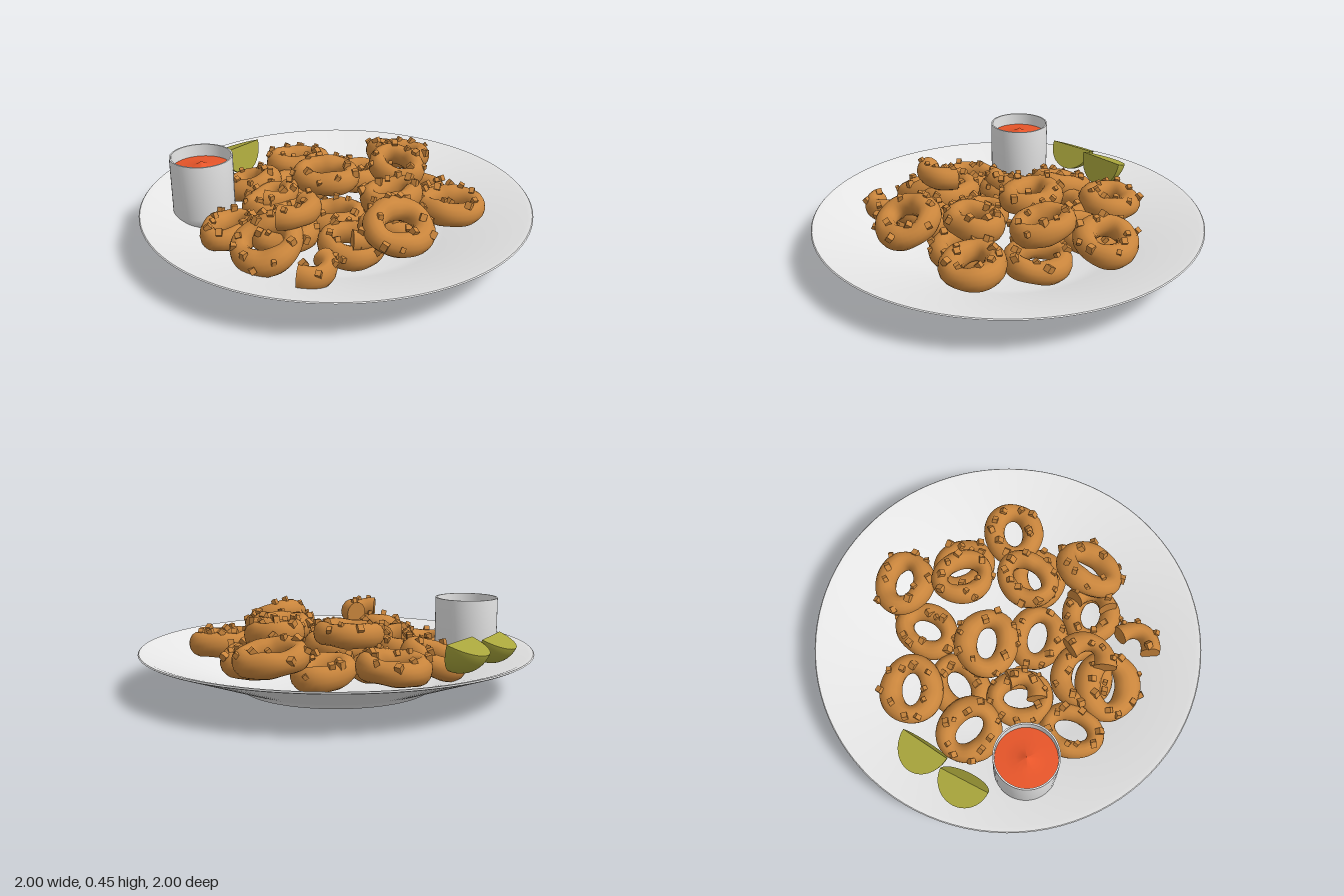
import * as THREE from 'three';
import { mergeGeometries, mergeVertices, toCreasedNormals } from 'three/addons/utils/BufferGeometryUtils.js';

const mat = (name, color) => Object.assign(new THREE.MeshStandardMaterial({ color }), { name });

// Small seeded generator for lumps and crumbs
let seed = 7;
const rand = () => {
  seed = (seed * 16807) % 2147483647;
  return seed / 2147483647;
};

// Fried ring: round outer edge, oval hole, lumpy crust, crumbs on top; an arc makes a broken piece
function ringGeometry(a, b, start = 0, arc = Math.PI * 2) {
  const closed = arc > 6.28, radial = 14, tubular = closed ? 40 : 22, height = 0.06;
  const phase = rand() * 6;
  const section = (u) => {
    const c = Math.cos(u), s = Math.sin(u);
    const oval = (p, q) => 1 / Math.hypot(c / p, s / q);
    const outer = oval(a, b) * (1 + 0.025 * Math.sin(3 * u + phase));
    const hole = oval(0.085, 0.048);
    return {
      mid: (outer + hole) / 2, w: (outer - hole) / 2,
      h: height * (1 + 0.07 * Math.sin(2 * u + phase) + 0.05 * Math.sin(5 * u)),
    };
  };
  const point = (u, v) => {
    const { mid, w, h } = section(u), r = mid + w * Math.cos(v);
    return new THREE.Vector3(r * Math.cos(u), h * Math.sin(v), -r * Math.sin(u));
  };

  let body = new THREE.TorusGeometry(1, 0.3, radial, tubular, arc);
  const pos = body.attributes.position;
  for (let j = 0, k = 0; j <= radial; j++) {
    for (let i = 0; i <= tubular; i++, k++) {
      const u = start + (closed ? i % tubular : i) / tubular * arc;
      const p = point(u, (j % radial) / radial * Math.PI * 2);
      pos.setXYZ(k, p.x, p.y, p.z);
    }
  }
  body.deleteAttribute('uv');
  body.deleteAttribute('normal');
  body = mergeVertices(body, 1e-5);
  body.computeVertexNormals();
  const parts = [body];

  // Broken ends
  if (!closed) {
    for (const [u, flip] of [[start, 0], [start + arc, Math.PI]]) {
      const { mid, w, h } = section(u);
      parts.push(new THREE.CircleGeometry(1, radial).scale(w, h, 1)
        .rotateY(flip).translate(mid, 0, 0).rotateY(u));
    }
  }
  // Crumbs
  const crumbs = closed ? 10 : 4;
  for (let i = 0; i < crumbs; i++) {
    const u = start + arc * (i + 0.2 + 0.6 * rand()) / crumbs;
    const p = point(u, 0.3 + rand() * 1.9), size = 0.02 + rand() * 0.012;
    parts.push(new THREE.BoxGeometry(size, size * 1.2, size)
      .rotateX(rand()).rotateY(rand() * 3).translate(p.x, p.y + 0.003, p.z));
  }
  parts.forEach((g) => g.deleteAttribute('uv'));
  return mergeGeometries(parts);
}

export function createModel() {
  const model = new THREE.Group();
  const china = mat('white china', 0xe9e9e9);
  const crust = mat('golden crust', 0xc9853c);
  const red = mat('red sauce', 0xe9562a);
  const green = mat('lime green', 0xa9a63c);
  china.side = THREE.DoubleSide;

  const add = (name, geometry, material, x = 0, y = 0, z = 0) => {
    const mesh = new THREE.Mesh(geometry, material);
    mesh.name = name;
    mesh.position.set(x, y, z);
    model.add(mesh);
    return mesh;
  };
  const lathe = (points, sides) =>
    toCreasedNormals(new THREE.LatheGeometry(points.map(([x, y]) => new THREE.Vector2(x, y)), sides), 0.6);

  // Plate
  add('plate', lathe([[0, 0], [0.49, 0], [0.505, 0.012], [0.52, 0.025], [0.56, 0.04], [0.99, 0.196],
    [1, 0.202], [0.995, 0.207], [0.97, 0.203], [0.56, 0.06], [0.48, 0.03], [0, 0.03]], 96), china);

  // Dip cup and sauce
  const cupX = -0.54, cupZ = 0.417;
  add('dipCup', lathe([[0, 0.09], [0.09, 0.09], [0.125, 0.1], [0.15, 0.125], [0.16, 0.16], [0.16, 0.45],
    [0.152, 0.45], [0.15, 0.16], [0.12, 0.12], [0, 0.11]], 48), china, cupX, 0, cupZ);
  add('sauce', lathe([[0.153, 0.385], [0.1, 0.388], [0.05, 0.393], [0.02, 0.405], [0, 0.42]], 48),
    red, cupX, 0, cupZ);

  // Lime wedges: a slice of a ball with its straight core edge on top
  const wedge = (x, y, z, from, to, radius, yaw) => {
    const rind = new THREE.SphereGeometry(1, 16, 20, 0, to - from);
    const p = rind.attributes.position;
    const parts = [rind];
    for (const [angle, flip] of [[0, false], [to - from, true]]) {
      const cut = new THREE.CircleGeometry(1, 20, Math.PI / 2, Math.PI);
      if (flip) cut.rotateY(Math.PI).rotateY(Math.PI + angle).index.array.reverse();
      else cut.rotateY(angle);
      if (flip) cut.computeVertexNormals();
      parts.push(cut);
    }
    const g = mergeGeometries(parts);
    // Ball angle 0 points to -x and turns towards +z; lay the axis along z
    g.rotateX(Math.PI / 2).rotateZ(from).scale(radius, radius, 0.13);
    const mesh = add('limeWedge', g, green, x, y, z);
    mesh.rotation.y = yaw;
    return p;
  };
  green.side = THREE.DoubleSide;
  wedge(-0.71, 0.31, -0.05, 0.35, 1.8, 0.155, -0.06);
  wedge(-0.765, 0.3, 0.205, 0.4, 2.05, 0.135, 0.05);

  // Rings: x, y, z, outer radii, yaw, tilt about x, tilt about z
  const rings = [
    [-0.03, 0.255, -0.61, 0.18, 0.16, 0.5, -0.2, 0],
    [-0.49, 0.2, -0.28, 0.18, 0.165, 0.55, -0.05, 0.1],
    [-0.17, 0.16, -0.39, 0.18, 0.145, 1.45, -0.1, 0],
    [0.23, 0.18, -0.41, 0.17, 0.16, -0.4, -0.15, 0],
    [0.135, 0.31, -0.35, 0.165, 0.145, -0.5, 0.1, -0.15],
    [0.52, 0.22, -0.27, 0.18, 0.16, 0.6, 0, -0.05],
    [-0.11, 0.29, -0.06, 0.18, 0.165, 0.4, 0.05, 0],
    [0.3, 0.29, -0.06, 0.17, 0.145, 1.4, 0, 0.08],
    [0.515, 0.285, 0.19, 0.185, 0.168, 1.35, 0.1, -0.45],
    [-0.52, 0.18, 0.08, 0.175, 0.165, -0.3, 0.05, 0.33],
    [0.33, 0.18, 0.31, 0.165, 0.155, 0.2, 0.1, -0.1],
    [0.08, 0.18, 0.13, 0.17, 0.155, 0.3, 0, 0.1],
    [-0.34, 0.15, -0.09, 0.175, 0.155, 1.1, 0, 0],
    [0.38, 0.16, -0.04, 0.17, 0.155, 0.7, 0, 0],
    [-0.26, 0.16, 0.52, 0.167, 0.14, 1.7, 0, 0.05],
    [-0.25, 0.19, 0.22, 0.17, 0.15, 2.1, 0.1, 0.1],
    [0.01, 0.2, 0.43, 0.175, 0.16, 0.3, 0.1, 0],
    [0.03, 0.195, 0.57, 0.18, 0.182, 0.5, 0.45, 0],
  ];
  // Broken pieces add an arc: start, length
  const pieces = [
    [0.02, 0.325, 0.42, 0.175, 0.165, 0, 0, 0.05, -1.15, 2.3],
    [0.26, 0.18, 0.585, 0.17, 0.15, 0, 0.1, -0.1, -1.1, 2.2],
    [0.31, 0.26, 0.3, 0.165, 0.15, 0, 0.05, -0.15, -0.8, 2.1],
    [-0.28, 0.25, 0.21, 0.165, 0.15, 0, 0.1, -0.05, -1, 1.9],
  ];
  for (const [x, y, z, a, b, yaw, tiltX, tiltZ, start, arc] of [...rings, ...pieces]) {
    const ring = add(arc ? 'brokenRing' : 'friedRing', ringGeometry(a, b, start, arc), crust, x, y, z);
    ring.rotation.set(tiltX, yaw, tiltZ, 'XZY');
  }
  return model;
}
